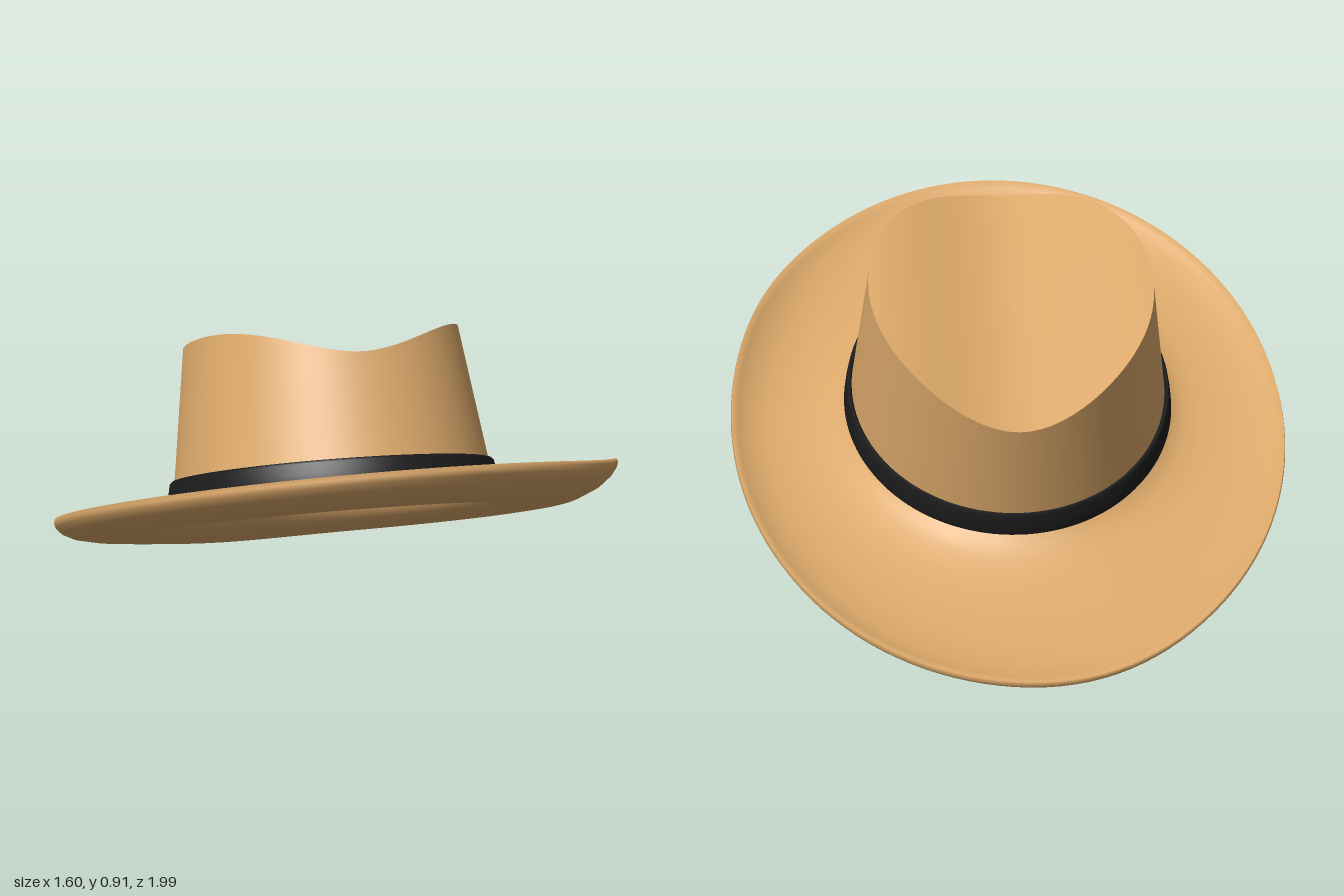
import * as THREE from 'three';

const SEG = 128;
const felt = new THREE.MeshStandardMaterial({ color: 0xdba86a, side: THREE.DoubleSide });
const ribbon = new THREE.MeshStandardMaterial({ color: 0x1c1c1c, side: THREE.DoubleSide });

// Skin a stack of closed rings; point(j, a) returns [x, y, z] on ring j at angle a (0 = front)
function loft(rings, point, closed = false) {
  const pos = [], idx = [];
  for (let j = 0; j < rings; j++)
    for (let i = 0; i < SEG; i++) pos.push(...point(j, (i / SEG) * Math.PI * 2));
  for (let j = 0; j < (closed ? rings : rings - 1); j++)
    for (let i = 0; i < SEG; i++) {
      const k = (i + 1) % SEG, n = ((j + 1) % rings) * SEG;
      const a = j * SEG + i, b = j * SEG + k, c = n + i, d = n + k;
      idx.push(a, b, c, b, d, c);
    }
  const g = new THREE.BufferGeometry();
  g.setAttribute('position', new THREE.Float32BufferAttribute(pos, 3));
  g.setIndex(idx);
  g.computeVertexNormals();
  return g;
}

const lerp = THREE.MathUtils.lerp;

// Height of the creased crown top: a lengthwise gutter rising to both sides
const topHeight = (x) => 0.375 + 0.1 * THREE.MathUtils.smoothstep(Math.abs(x), 0, 0.4);

function brimGeometry() {
  // Cross-section from the hole (t = 0) to the edge (t = 1): underside out, top side back
  const under = [[0, 0.012], [0.03, -0.012], [0.08, -0.034], [0.16, -0.048], [0.3, -0.058], [0.5, -0.063],
    [0.7, -0.06], [0.85, -0.046], [0.94, -0.028], [0.985, -0.01]];
  const over = [[1, 0.004], [0.99, 0.015], [0.94, 0.002], [0.85, -0.014], [0.7, -0.027], [0.5, -0.031],
    [0.3, -0.026], [0.16, -0.014], [0.08, 0.0], [0.03, 0.016], [0, 0.028]];
  const section = [...under, ...over];
  return loft(section.length, (j, a) => {
    const [t, v] = section[j];
    const x = lerp(0.455, 0.8, t) * Math.sin(a);
    const z = lerp(0.02, 0, t) + lerp(0.54, 1.053, t) * Math.cos(a);
    // Slight uneven warp: one side lifts, the opposite rear corner droops
    const lift = x > 0 ? 0.03 * (x / 0.8) ** 2 * Math.exp(-(((z - 0.4) / 0.35) ** 2)) : 0;
    const droop = -0.018 * Math.exp(-(((x + 0.22) / 0.3) ** 2) - ((z + 1) / 0.35) ** 2);
    return [x, v + t * t * (0.015 * x + lift + droop), z];
  }, true);
}

function crownWallGeometry() {
  const N = 14;
  return loft(N + 1, (j, a) => {
    const s = j / N;
    const x = lerp(0.452, 0.395, s) * Math.sin(a);
    const z = lerp(0.018, 0, s) + lerp(0.538, 0.506, s) * Math.cos(a);
    return [x, lerp(0.075, topHeight(0.395 * Math.sin(a)), s), z];
  });
}

function crownTopGeometry() {
  const N = 20;
  return loft(N + 1, (j, a) => {
    const r = 1 - (j / N) * 0.9999;
    const x = 0.395 * r * Math.sin(a);
    return [x, topHeight(x), 0.506 * r * Math.cos(a)];
  });
}

function bandGeometry() {
  // [offset from the crown, height], outside up and inside down
  const section = [[0.016, 0.012], [0.02, 0.02], [0.016, 0.05], [0.01, 0.08], [0.004, 0.086], [-0.004, 0.08], [0, 0.012]];
  return loft(section.length, (j, a) => {
    const [o, v] = section[j];
    return [(0.455 + o) * Math.sin(a), v, 0.02 + (0.538 + o) * Math.cos(a)];
  }, true);
}

export function createModel() {
  const model = new THREE.Group();
  model.name = 'hat';
  const hat = new THREE.Group();
  hat.name = 'tiltedHat';
  const parts = [
    ['brim', brimGeometry(), felt],
    ['crownWall', crownWallGeometry(), felt],
    ['crownTop', crownTopGeometry(), felt],
    ['hatBand', bandGeometry(), ribbon],
  ];
  for (const [name, geometry, material] of parts) {
    const mesh = new THREE.Mesh(geometry, material);
    mesh.name = name;
    hat.add(mesh);
  }
  // Tip the front upward and rest the rear edge on the ground
  hat.rotation.x = THREE.MathUtils.degToRad(-18.8);
  model.add(hat);
  model.updateMatrixWorld(true);
  hat.position.y = -new THREE.Box3().setFromObject(model, true).min.y;
  return model;
}
